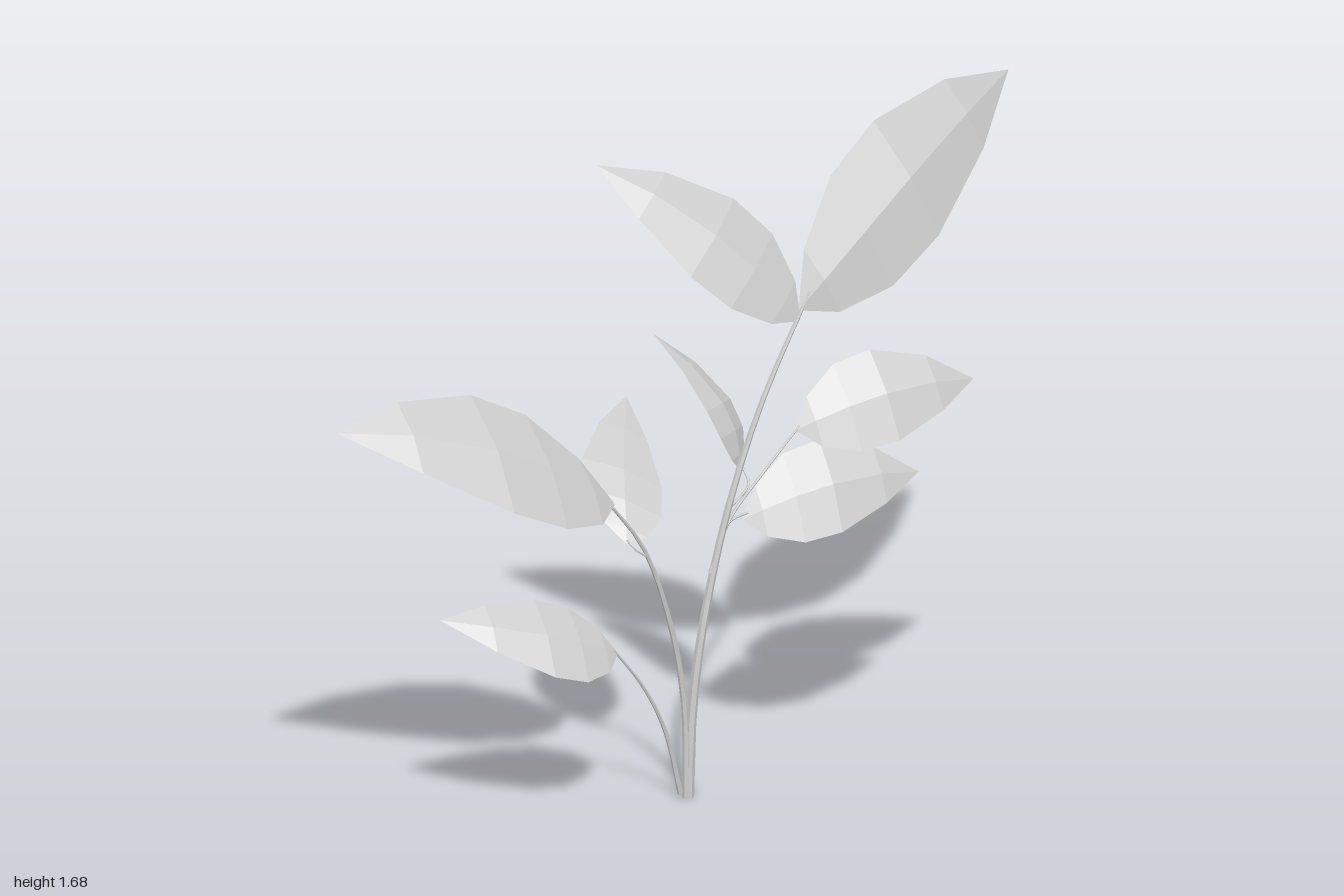
import * as THREE from 'three';

const stemMaterial = new THREE.MeshStandardMaterial({ color: 0xcccccc, flatShading: true });
const leafMaterial = new THREE.MeshStandardMaterial({ color: 0xcccccc, flatShading: true, side: THREE.DoubleSide });
const STEM_Z = 0.13;

// Tapered tube through [x, y, z] points; z defaults to the plane of the stems
function stem(name, points, r0, r1) {
  const curve = new THREE.CatmullRomCurve3(points.map(([x, y, z = STEM_Z]) => new THREE.Vector3(x, y, z)));
  const rings = 14, sides = 6;
  const geometry = new THREE.TubeGeometry(curve, rings, 1, sides);
  const pos = geometry.attributes.position;
  const v = new THREE.Vector3();
  for (let i = 0; i < pos.count; i++) {
    const t = Math.floor(i / (sides + 1)) / rings;
    const centre = curve.getPointAt(t);
    v.fromBufferAttribute(pos, i).sub(centre).multiplyScalar(r0 + (r1 - r0) * t).add(centre);
    pos.setXYZ(i, v.x, v.y, v.z);
  }
  geometry.computeVertexNormals();
  const mesh = new THREE.Mesh(geometry, stemMaterial);
  mesh.name = name;
  return mesh;
}

// Position along the leaf and relative half-width of each cross-section
const SECTIONS = [[0, 0.03], [0.09, 0.55], [0.26, 0.96], [0.46, 1], [0.75, 0.6], [1, 0]];

// Leaf from base to tip: "half" is the half-width vector, "bend" the arch along
// the length; the midrib is raised slightly so the blade is convex at the front
function leaf(name, base, tip, half, bend) {
  const [b, t, w, d] = [base, tip, half, bend].map((p) => new THREE.Vector3(...p));
  const normal = t.clone().sub(b).cross(w).normalize();
  const flipped = normal.z < 0;
  if (flipped) normal.negate();
  const ridge = w.length() * 0.15;
  const vertices = [], index = [];
  SECTIONS.forEach(([s, width], i) => {
    const mid = b.clone().lerp(t, s).addScaledVector(d, 4 * s * (1 - s));
    for (const side of [-1, 0, 1]) {
      const p = mid.clone().addScaledVector(w, side * width);
      if (side === 0) p.addScaledVector(normal, ridge * width);
      vertices.push(p.x, p.y, p.z);
    }
    if (i === 0) return;
    for (let j = 0; j < 2; j++) {
      const a = (i - 1) * 3 + j, c = a + 3;
      index.push(a, c, a + 1);
      if (i < SECTIONS.length - 1) index.push(a + 1, c, c + 1);
    }
  });
  // Wind the faces towards the convex front
  if (flipped) index.reverse();
  const geometry = new THREE.BufferGeometry();
  geometry.setAttribute('position', new THREE.Float32BufferAttribute(vertices, 3));
  geometry.setIndex(index);
  geometry.computeVertexNormals();
  const mesh = new THREE.Mesh(geometry, leafMaterial);
  mesh.name = name;
  return mesh;
}

export function createModel() {
  const plant = new THREE.Group();
  plant.name = 'leafyPlant';

  // Stems rising from the ground
  plant.add(
    stem('mainStem', [[-0.055, 0], [-0.042, 0.25], [0, 0.5], [0.068, 0.75], [0.167, 1], [0.31, 1.26]], 0.014, 0.005),
    stem('leftStem', [[-0.062, 0], [-0.068, 0.25], [-0.11, 0.47], [-0.19, 0.69], [-0.3, 0.84]], 0.01, 0.004),
    stem('lowStem', [[-0.08, 0.015], [-0.125, 0.19], [-0.19, 0.32], [-0.28, 0.44]], 0.007, 0.003),
  );

  // Leaf stalks branching off the stems
  plant.add(
    stem('upperRightStalk', [[0.01, 0.58], [0.07, 0.71], [0.17, 0.81], [0.28, 0.91]], 0.005, 0.003),
    stem('lowerRightStalk', [[0.02, 0.6], [0.065, 0.7], [0.13, 0.715]], 0.005, 0.003),
    stem('centreStalk', [[0.07, 0.74], [0.125, 0.79], [0.12, 0.84, 0.1]], 0.004, 0.003),
    stem('innerLeftStalk', [[-0.185, 0.67], [-0.21, 0.69, 0.12], [-0.22, 0.71, 0.1]], 0.004, 0.003),
  );

  // Leaves: base, tip, half-width, bend
  plant.add(
    leaf('topRightLeaf', [0.28, 1.22, 0.13], [1, 1.65, 0], [-0.055, 0.145, -0.062], [0, 0.07, 0.045]),
    leaf('topLeftLeaf', [0.28, 1.19, 0.13], [-0.13, 1.6, -0.16], [0.1, 0.065, -0.05], [0.005, 0.035, 0.02]),
    leaf('bigLeftLeaf', [-0.28, 0.83, 0.13], [-1, 1.125, -0.04], [0.01, 0.12, -0.11], [0, 0.055, 0.03]),
    leaf('lowLeftLeaf', [-0.27, 0.43, 0.13], [-0.72, 0.58, 0.01], [0.02, 0.075, -0.075], [0, 0.012, 0.04]),
    leaf('innerLeftLeaf', [-0.22, 0.7, 0.1], [0.02, 0.925, -0.245], [-0.078, 0.038, -0.06], [-0.028, 0.02, 0.02]),
    leaf('centreLeaf', [0.12, 0.82, 0.1], [0.04, 1.115, -0.16], [0.07, -0.015, -0.05], [0.03, 0.01, 0.04]),
    leaf('upperRightLeaf', [0.27, 0.9, 0.13], [0.755, 0.95, 0.2], [0, 0.1, -0.065], [0, 0.04, 0.03]),
    leaf('lowerRightLeaf', [0.11, 0.7, 0.13], [0.59, 0.74, 0.2], [0.01, 0.1, -0.065], [0, 0.04, 0.03]),
  );
  return plant;
}
